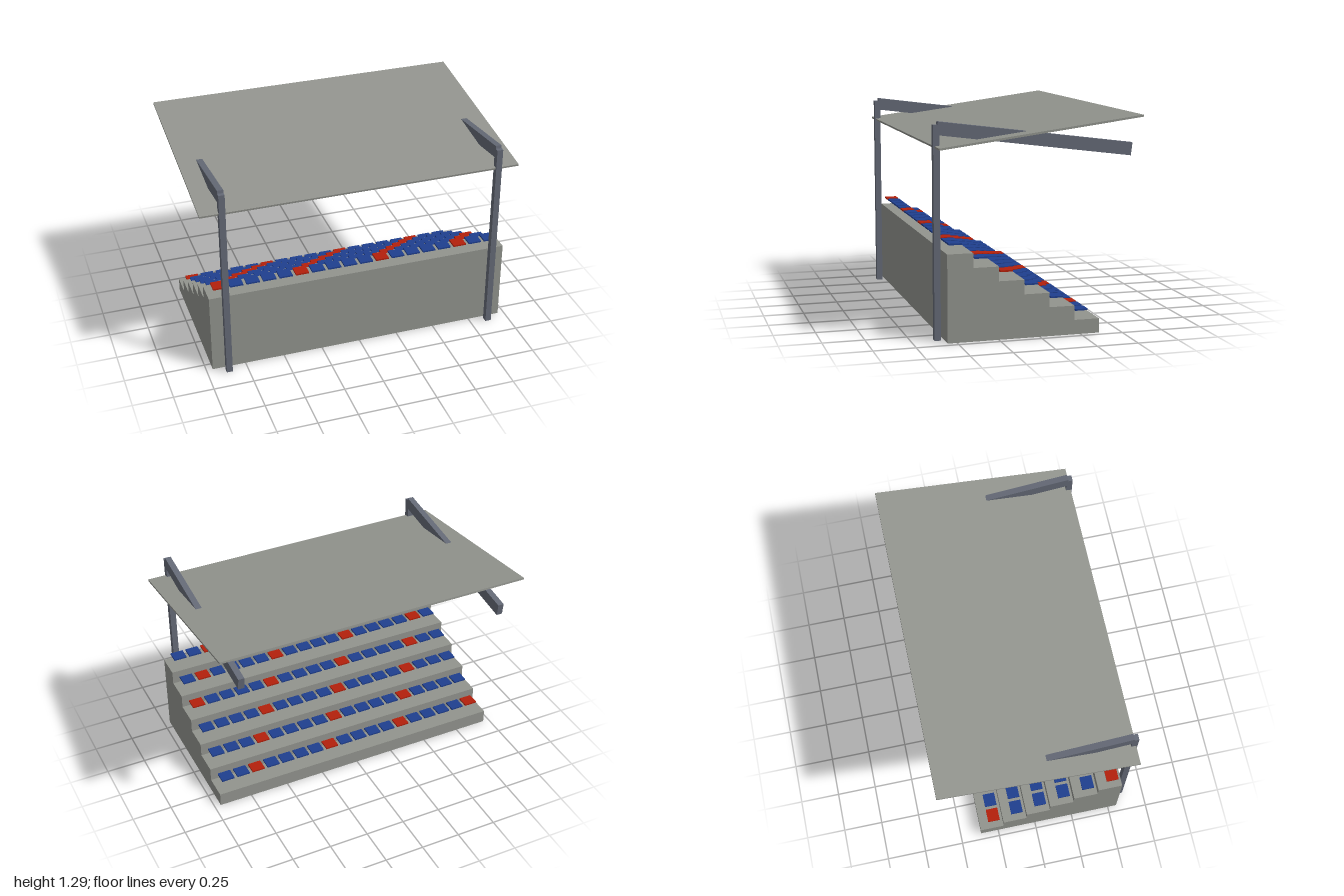
import * as THREE from 'three';

const ROWS = 6, SEATS = 18;
const RISE = 0.0868, TREAD = 0.1538, FRONT_Z = -0.366;

const material = (name, color) => Object.assign(new THREE.MeshStandardMaterial({ color }), { name });

export function createModel() {
  const concrete = material('concrete grey', 0x92948e);
  const steel = material('steel grey', 0x656a77);
  const blue = material('seat blue', 0x1f3f8f);
  const red = material('seat red', 0xb3200c);

  const model = new THREE.Group();
  model.name = 'grandstand';

  const add = (parent, name, geometry, mat, x, y, z, tilt = 0) => {
    const mesh = new THREE.Mesh(geometry, mat);
    mesh.name = name;
    mesh.position.set(x, y, z);
    mesh.rotation.x = tilt;
    parent.add(mesh);
    return mesh;
  };

  // Stepped terrace: stair profile (shape x becomes -z) extruded across the width
  const backZ = FRONT_Z + ROWS * TREAD;
  const stairs = new THREE.Shape();
  stairs.moveTo(-backZ, 0);
  stairs.lineTo(-FRONT_Z, 0);
  for (let r = 0; r < ROWS; r++) {
    const z = FRONT_Z + r * TREAD;
    stairs.lineTo(-z, (r + 1) * RISE);
    stairs.lineTo(-z - TREAD, (r + 1) * RISE);
  }
  stairs.closePath();
  const terrace = new THREE.ExtrudeGeometry(stairs, { depth: 1.92, bevelEnabled: false });
  terrace.translate(0, 0, -0.96);
  terrace.rotateY(Math.PI / 2);
  add(model, 'terrace', terrace, concrete, 0, 0, 0);

  // Rows of floating seat pads, with every fifth one red, shifted by row
  const seatGeometry = new THREE.BoxGeometry(0.083, 0.01, 0.077);
  for (let r = 0; r < ROWS; r++) {
    const row = new THREE.Group();
    row.name = `seatRow${r + 1}`;
    row.position.set(0, (r + 1) * RISE + 0.049, FRONT_Z + (r + 0.5) * TREAD + 0.019);
    for (let i = 0; i < SEATS; i++) {
      add(row, 'seat', seatGeometry, (i + r) % 5 === 0 ? red : blue, -0.885 + i * 0.1037, 0, 0);
    }
    model.add(row);
  }

  // Posts and sloping beams at both ends
  for (const side of [-1, 1]) {
    const end = side > 0 ? 'left' : 'right';
    add(model, `${end}Post`, new THREE.BoxGeometry(0.038, 1.254, 0.038), steel, side * 0.866, 0.627, 0.597);
    add(model, `${end}Beam`, new THREE.BoxGeometry(0.038, 0.077, 1.189), steel, side * 0.866, 1.157, 0.003, -0.13);
  }

  // Thin canopy rising away from the posts
  add(model, 'roof', new THREE.BoxGeometry(2, 0.012, 1.232), concrete, 0, 1.206, -0.003, 0.13);

  return model;
}
